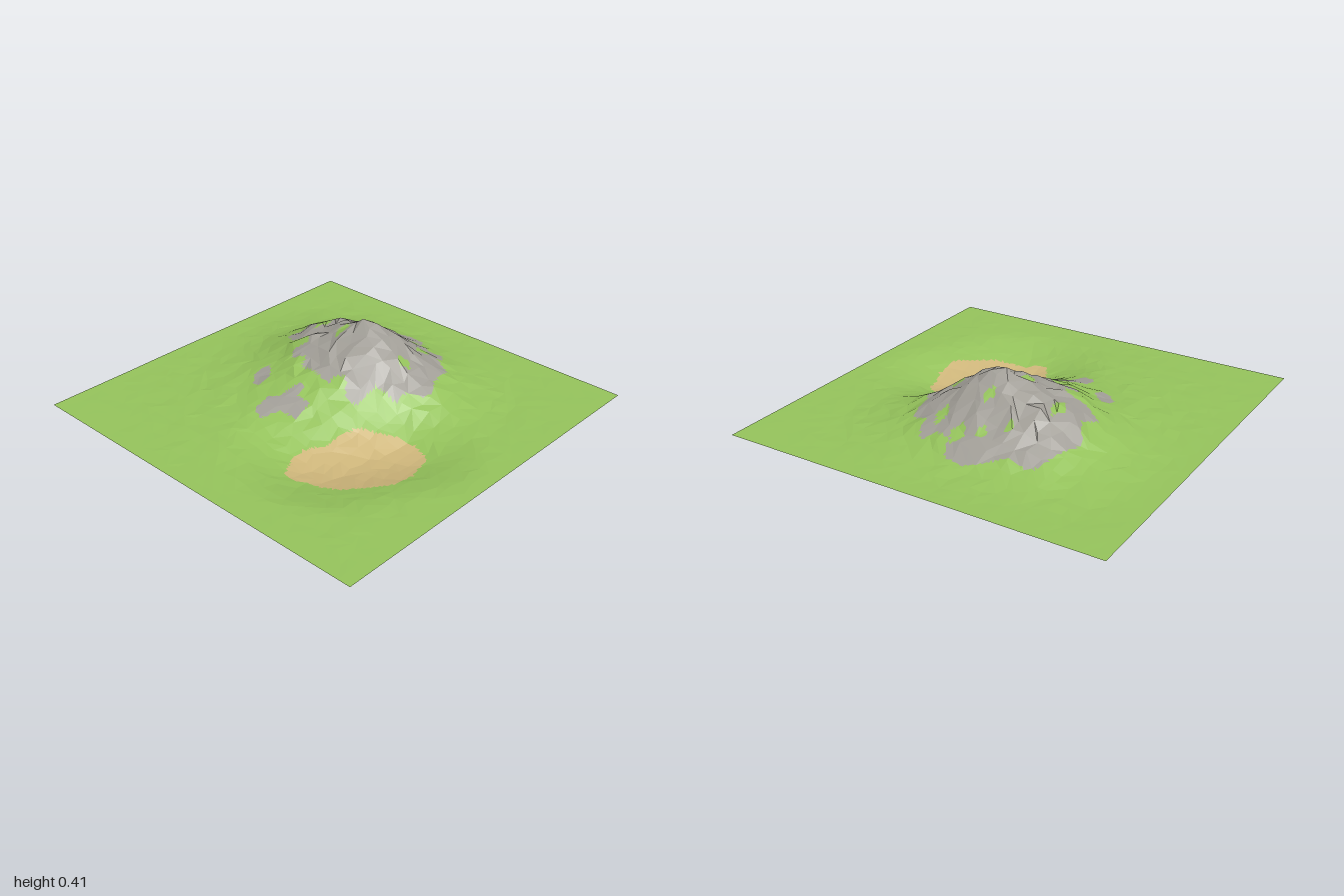
import * as THREE from 'three';

const COARSE = 32, SUB = 4, BASE = 0.095;
const PEAK = [-0.08, -0.27];

// Mountain height above the plain, every 0.1 outwards from the peak
const slopes = {
  east: [0.327, 0.3, 0.24, 0.165, 0.11, 0.06, 0.028, 0.008, 0],
  west: [0.327, 0.272, 0.228, 0.205, 0.14, 0.08, 0.035, 0.015, 0.003, 0],
  back: [0.327, 0.268, 0.195, 0.11, 0.048, 0.014, 0.003, 0],
  front: [0.327, 0.27, 0.215, 0.16, 0.115, 0.075, 0.047, 0.03, 0.02, 0.015, 0.01, 0.005, 0],
};

// Outlines of the ground cover as [x, z]
const rockOutline = [
  [-0.13, -0.72], [-0.02, -0.7], [0.02, -0.61], [0.1, -0.59], [0.15, -0.64], [0.2, -0.59], [0.2, -0.53],
  [0.3, -0.5], [0.32, -0.42], [0.33, -0.35], [0.38, -0.28], [0.37, -0.22], [0.3, -0.17], [0.3, -0.1],
  [0.18, -0.08], [0.17, 0.05], [0.11, 0.07], [0.05, 0], [0, 0.03], [0, 0.07], [-0.1, 0.06], [-0.2, 0.05],
  [-0.22, 0], [-0.3, 0.03], [-0.33, -0.03], [-0.28, -0.08], [-0.33, -0.12], [-0.42, -0.1], [-0.51, -0.16],
  [-0.47, -0.25], [-0.53, -0.35], [-0.53, -0.4], [-0.48, -0.5], [-0.45, -0.6], [-0.4, -0.63],
  [-0.32, -0.61], [-0.25, -0.65],
];
const rockPatches = [
  [[-0.42, 0.12], [-0.39, 0.09], [-0.36, 0.12], [-0.32, 0.16], [-0.32, 0.23], [-0.36, 0.24], [-0.42, 0.18]],
  [[-0.13, 0.14], [-0.09, 0.14], [-0.08, 0.2], [0, 0.2], [0, 0.3], [-0.09, 0.31], [-0.13, 0.41],
    [-0.2, 0.38], [-0.21, 0.28], [-0.16, 0.25]],
];
const sandOutline = [
  [0.3, 0.08], [0.4, 0.01], [0.5, -0.01], [0.6, 0.03], [0.62, 0.12], [0.65, 0.2], [0.65, 0.33], [0.58, 0.41],
  [0.48, 0.5], [0.4, 0.53], [0.32, 0.54], [0.27, 0.58], [0.2, 0.57], [0.14, 0.47], [0.14, 0.38], [0.2, 0.29],
  [0.21, 0.2], [0.24, 0.12],
];
// Grass tufts inside the rock as [x, z, half width, half depth]
const grassSpots = [
  [-0.37, -0.28, 0.035, 0.06], [-0.16, -0.2, 0.03, 0.05], [-0.01, -0.58, 0.04, 0.05], [0.13, -0.5, 0.035, 0.05],
  [0.2, -0.27, 0.04, 0.035], [-0.24, -0.5, 0.02, 0.03], [-0.12, -0.55, 0.03, 0.025], [-0.07, -0.4, 0.025, 0.04],
];

function inside(x, z, outline) {
  let hit = false;
  outline.forEach(([ax, az], i) => {
    const [bx, bz] = outline[(i + 1) % outline.length];
    if ((az > z) !== (bz > z) && x < ((bx - ax) * (z - az)) / (bz - az) + ax) hit = !hit;
  });
  return hit;
}

function coverAt(x, z) {
  if (inside(x, z, sandOutline)) return 'sand';
  const tuft = grassSpots.some(([cx, cz, w, d]) => Math.abs(x - cx) / w + Math.abs(z - cz) / d < 1.1);
  if (!tuft && [rockOutline, ...rockPatches].some((o) => inside(x, z, o))) return 'rock';
  return 'grass';
}

// Repeatable noise from -1 to 1
function noise(i, j) {
  const s = Math.sin(i * 127.1 + j * 311.7) * 43758.5453;
  return (s - Math.floor(s)) * 2 - 1;
}

function sample(table, r) {
  const i = Math.floor(r * 10), t = r * 10 - i;
  return (table[i] ?? 0) * (1 - t) + (table[i + 1] ?? 0) * t;
}

// Mountain: blend the four slope profiles by direction
function mountain(x, z) {
  const dx = x - PEAK[0], dz = z - PEAK[1], r = Math.hypot(dx, dz);
  const side = sample(dx > 0 ? slopes.east : slopes.west, r);
  const depth = sample(dz > 0 ? slopes.front : slopes.back, r);
  const w = r > 0 ? (dx / r) ** 2 : 0.5;
  return side * w + depth * (1 - w);
}

// Basin: a hollow around a short slanted line
function basin(x, z) {
  const a = [0.28, 0.44], d = [0.16, -0.34];
  const t = THREE.MathUtils.clamp(((x - a[0]) * d[0] + (z - a[1]) * d[1]) / (d[0] ** 2 + d[1] ** 2), 0, 1);
  const r = Math.hypot(x - a[0] - d[0] * t, (z - a[1] - d[1] * t) * 1.15);
  return 0.102 * (1 - THREE.MathUtils.smoothstep(r, 0, 0.5));
}

// Corners of the large facets, shifted sideways to look natural
function buildCorners() {
  const corners = [];
  for (let j = 0; j <= COARSE; j++) {
    for (let i = 0; i <= COARSE; i++) {
      let x = (i / COARSE) * 2 - 1, z = (j / COARSE) * 2 - 1;
      const edge = Math.max(Math.abs(x), Math.abs(z));
      const summit = Math.hypot(x - PEAK[0], z - PEAK[1]) < 0.03;
      if (summit) [x, z] = PEAK;
      else if (edge < 1) {
        x += noise(i + 50, j) * 0.016;
        z += noise(i, j + 50) * 0.016;
      }
      const hill = mountain(x, z);
      const rough = summit ? 0 : (0.002 + Math.min(hill, 0.15) * 0.07) * (1 - edge ** 6);
      corners.push([x, BASE + hill - basin(x, z) + noise(i, j) * rough, z]);
    }
  }
  const low = Math.min(...corners.map((c) => c[1]));
  return corners.map(([x, y, z]) => [x, y - low, z]);
}

export function createModel() {
  const model = new THREE.Group();
  model.name = 'terrain';
  const corners = buildCorners();
  const corner = (i, j) => corners[j * (COARSE + 1) + i];

  // Sort the triangles by ground cover
  const faces = { grass: [], rock: [], sand: [] };
  function addFace(...p) {
    const x = (p[0][0] + p[1][0] + p[2][0]) / 3, z = (p[0][2] + p[1][2] + p[2][2]) / 3;
    faces[coverAt(x, z)].push(...p.flat());
  }

  // Divide one large facet into small coplanar triangles for clean colour borders
  function addFacet(a, b, c) {
    const at = (u, v) => a.map((n, k) => n + ((b[k] - n) * u + (c[k] - n) * v) / SUB);
    for (let u = 0; u < SUB; u++) {
      for (let v = 0; u + v < SUB; v++) {
        addFace(at(u, v), at(u + 1, v), at(u, v + 1));
        if (u + v < SUB - 1) addFace(at(u + 1, v), at(u + 1, v + 1), at(u, v + 1));
      }
    }
  }
  for (let j = 0; j < COARSE; j++) {
    for (let i = 0; i < COARSE; i++) {
      const a = corner(i, j), b = corner(i + 1, j), c = corner(i, j + 1), d = corner(i + 1, j + 1);
      if (noise(i + 90, j + 90) > 0) {
        addFacet(a, c, b);
        addFacet(b, c, d);
      } else {
        addFacet(a, c, d);
        addFacet(a, d, b);
      }
    }
  }

  // One mesh per ground cover
  const covers = { grass: ['grassland', 0x94c25b], rock: ['mountainRock', 0xa19e97], sand: ['sandyBasin', 0xcdb57a] };
  for (const [key, [name, color]] of Object.entries(covers)) {
    const geometry = new THREE.BufferGeometry();
    geometry.setAttribute('position', new THREE.Float32BufferAttribute(faces[key], 3));
    geometry.computeVertexNormals();
    const material = new THREE.MeshStandardMaterial({ color, flatShading: true, side: THREE.DoubleSide });
    material.name = key;
    const mesh = new THREE.Mesh(geometry, material);
    mesh.name = name;
    model.add(mesh);
  }
  return model;
}
